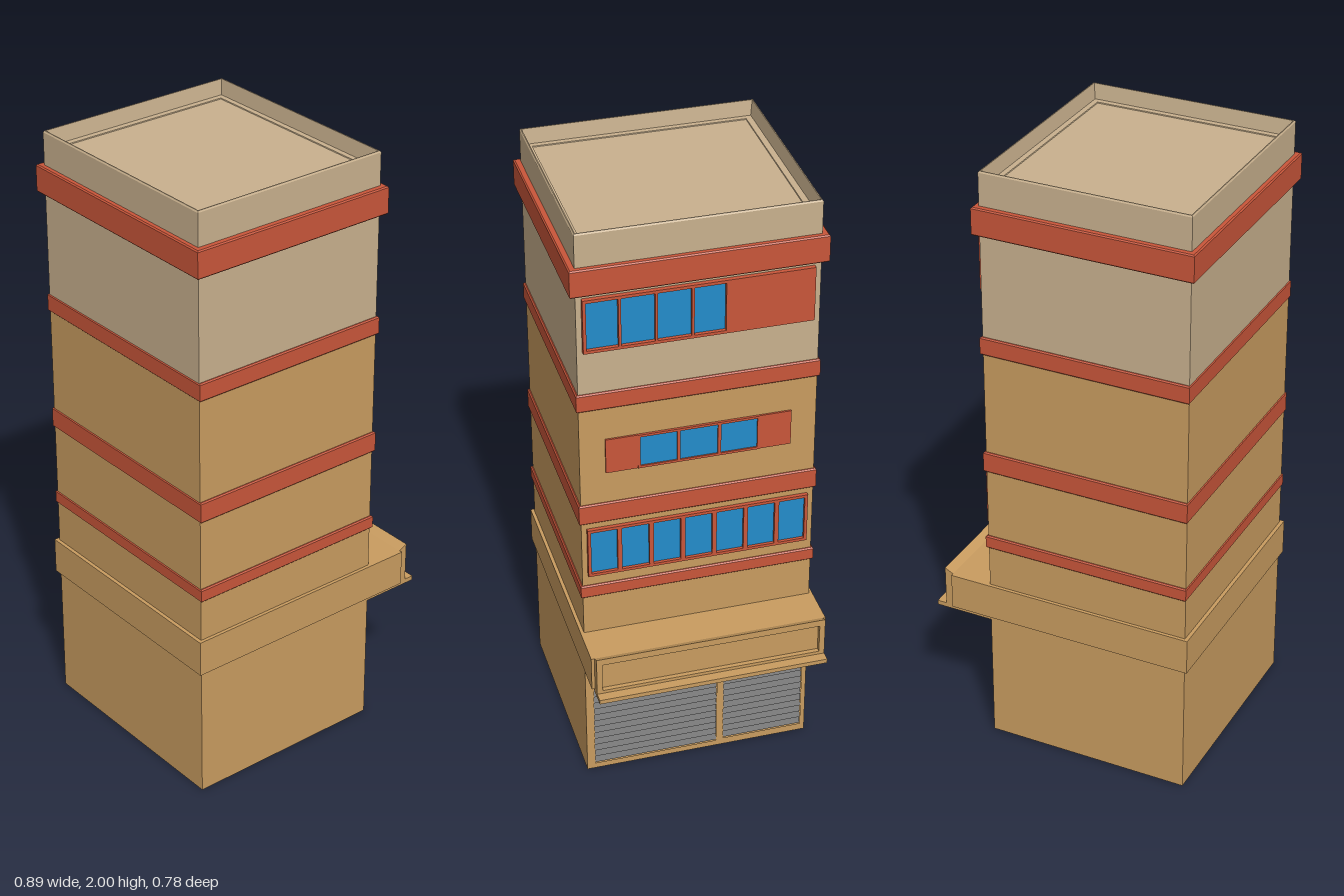
import * as THREE from 'three';

const mat = (name, color) => Object.assign(new THREE.MeshStandardMaterial({ color }), { name });

export function createModel() {
  const tan = mat('tan plaster', 0xc99c60);
  const beige = mat('beige plaster', 0xc9b18e);
  const red = mat('brick red trim', 0xc9563a);
  const blue = mat('blue glass', 0x238ccb);
  const grey = mat('grey shutter', 0x7c7c7c);

  const model = new THREE.Group();
  model.name = 'building';

  const add = (name, geometry, material, parent = model) => {
    const mesh = new THREE.Mesh(geometry, material);
    mesh.name = name;
    parent.add(mesh);
    return mesh;
  };
  // Box given by its limits on each axis
  const box = (name, material, x0, x1, y0, y1, z0, z1, parent) => {
    const mesh = add(name, new THREE.BoxGeometry(x1 - x0, y1 - y0, z1 - z0), material, parent);
    mesh.position.set((x0 + x1) / 2, (y0 + y1) / 2, (z0 + z1) / 2);
    return mesh;
  };
  // Stack of rectangular rings [x0, x1, halfDepth, y], closed by a cap on the last ring
  const loft = (rings) => {
    const corners = rings.map(([x0, x1, d, y]) => [[x0, y, d], [x1, y, d], [x1, y, -d], [x0, y, -d]]);
    const pos = [];
    const quad = (a, b, c, d) => pos.push(...a, ...b, ...c, ...a, ...c, ...d);
    for (let i = 0; i + 1 < corners.length; i++) {
      for (let k = 0; k < 4; k++) {
        const n = (k + 1) % 4;
        quad(corners[i][k], corners[i][n], corners[i + 1][n], corners[i + 1][k]);
      }
    }
    quad(...corners[corners.length - 1]);
    const g = new THREE.BufferGeometry();
    g.setAttribute('position', new THREE.Float32BufferAttribute(pos, 3));
    g.computeVertexNormals();
    return g;
  };

  const L = -0.43, R = 0.25, D = 0.372;

  // Tower: tan lower floors, beige top floor with sunken roof and parapet
  box('groundFloorCore', tan, L, R - 0.015, 0, 0.46, -D, D);
  box('middleFloors', tan, L, R, 0.46, 1.43, -D, D);
  add('topFloorAndParapet', loft([
    [L, R, D, 1.43], [L, R, D, 1.995], [L + 0.003, R - 0.003, D - 0.003, 2],
    [L + 0.006, R - 0.006, D - 0.006, 2], [L + 0.012, R - 0.012, D - 0.012, 1.95],
    [L + 0.03, R - 0.03, D - 0.032, 1.95], [L + 0.031, R - 0.031, D - 0.033, 1.947],
  ]), beige);

  // Red bands with slightly bevelled edges
  const band = (name, x0, x1, d, y0, y1) => {
    const b = 0.004;
    add(name, loft([
      [L, R, D, y0], [x0 + b, x1 - b, d - b, y0], [x0, x1, d, y0 + b],
      [x0, x1, d, y1 - b], [x0 + b, x1 - b, d - b, y1], [L, R, D, y1],
    ].slice(0, 6)), red);
  };
  band('roofBand', -0.447, 0.267, 0.392, 1.8, 1.89);
  [[1.4, 1.46], [0.99, 1.06], [0.71, 0.755]].forEach(([y0, y1], i) =>
    band('floorBand' + (i + 1), -0.433, 0.257, 0.379, y0, y1));

  // Ground floor wall with two openings, set on the +x side
  const openings = [[-0.067, 0.345, 0.02, 0.42], [-0.357, -0.09, 0.025, 0.425]];
  const rect = (Type, z0, z1, y0, y1) => {
    const p = new Type();
    p.moveTo(-z0, y0).lineTo(-z1, y0).lineTo(-z1, y1).lineTo(-z0, y1).closePath();
    return p;
  };
  const wall = rect(THREE.Shape, -D, D, 0, 0.46);
  openings.forEach((o) => wall.holes.push(rect(THREE.Path, ...o)));
  const facade = add('shopWall', new THREE.ExtrudeGeometry(wall, { depth: 0.015, bevelEnabled: false }), tan);
  facade.rotation.y = Math.PI / 2;
  facade.position.x = R - 0.015;

  // Roller shutters with a sawtooth slat profile
  openings.forEach(([z0, z1, y0, y1], i) => {
    const slats = 16, h = (y1 - y0) / slats;
    const profile = new THREE.Shape();
    profile.moveTo(0, y0);
    for (let s = 0; s < slats; s++) {
      profile.lineTo(0.013, y0 + s * h + 0.002);
      profile.lineTo(0.007, y0 + (s + 1) * h);
    }
    profile.lineTo(0, y1);
    const m = add('shutter' + (i + 1),
      new THREE.ExtrudeGeometry(profile, { depth: z1 - z0, bevelEnabled: false }), grey);
    m.position.set(R - 0.015, 0, z0);
  });

  // Canopy: ledge round the tower, framed sign box and projecting lip
  const canopy = new THREE.Group();
  canopy.name = 'canopy';
  model.add(canopy);
  box('canopyLedge', tan, -0.442, 0.385, 0.45, 0.57, -0.383, 0.383, canopy);
  box('canopyLip', tan, R - 0.005, 0.445, 0.435, 0.45, -0.373, 0.373, canopy);
  box('canopyPanel', tan, 0.384, 0.398, 0.45, 0.57, -0.37, 0.37, canopy);
  box('canopyFrameBottom', tan, 0.384, 0.413, 0.449, 0.461, -0.373, 0.373, canopy);
  const cap = new THREE.Shape();
  cap.moveTo(0.384, 0.562).lineTo(0.413, 0.562).lineTo(0.413, 0.585).lineTo(0.384, 0.57).closePath();
  const capMesh = add('canopyFrameTop',
    new THREE.ExtrudeGeometry(cap, { depth: 0.746, bevelEnabled: false }), tan, canopy);
  capMesh.position.z = -0.373;
  for (const s of [-1, 1]) {
    const a = s * 0.355, b = s * 0.373;
    box('canopyFrameSide', tan, 0.384, 0.413, 0.455, 0.57, Math.min(a, b), Math.max(a, b), canopy);
  }

  // Window row: glass sheet behind a red frame with mullions
  const windowRow = (name, y0, y1, z0, z1, panes, out, bar, edge) => {
    const g = new THREE.Group();
    g.name = name;
    model.add(g);
    box('glass', blue, R - 0.005, R + 0.003, y0 + 0.003, y1 - 0.003, z0 + 0.003, z1 - 0.003, g);
    box('sill', red, R - 0.005, out, y0, y0 + edge, z0, z1, g);
    box('lintel', red, R - 0.005, out, y1 - edge, y1, z0, z1, g);
    for (let i = 0; i <= panes; i++) {
      const w = i === 0 || i === panes ? edge : bar / 2;
      const z = z0 + ((z1 - z0) * i) / panes;
      box('mullion', red, R - 0.005, out, y0 + edge, y1 - edge,
        i === 0 ? z : z - w, i === panes ? z : z + w, g);
    }
    return g;
  };
  const top = windowRow('topWindows', 1.607, 1.787, -0.088, 0.355, 4, 0.265, 0.008, 0.01);
  box('topWindowPanel', red, R - 0.005, 0.265, 1.607, 1.787, -0.352, -0.088, top);
  const mid = windowRow('middleWindows', 1.17, 1.29, -0.192, 0.192, 3, 0.258, 0.01, 0.008);
  box('middleShutterLeft', red, R - 0.005, 0.256, 1.17, 1.29, 0.192, 0.292, mid);
  box('middleShutterRight', red, R - 0.005, 0.256, 1.17, 1.29, -0.292, -0.192, mid);
  windowRow('lowerWindows', 0.795, 0.97, -0.353, 0.355, 7, 0.263, 0.014, 0.01);

  return model;
}
